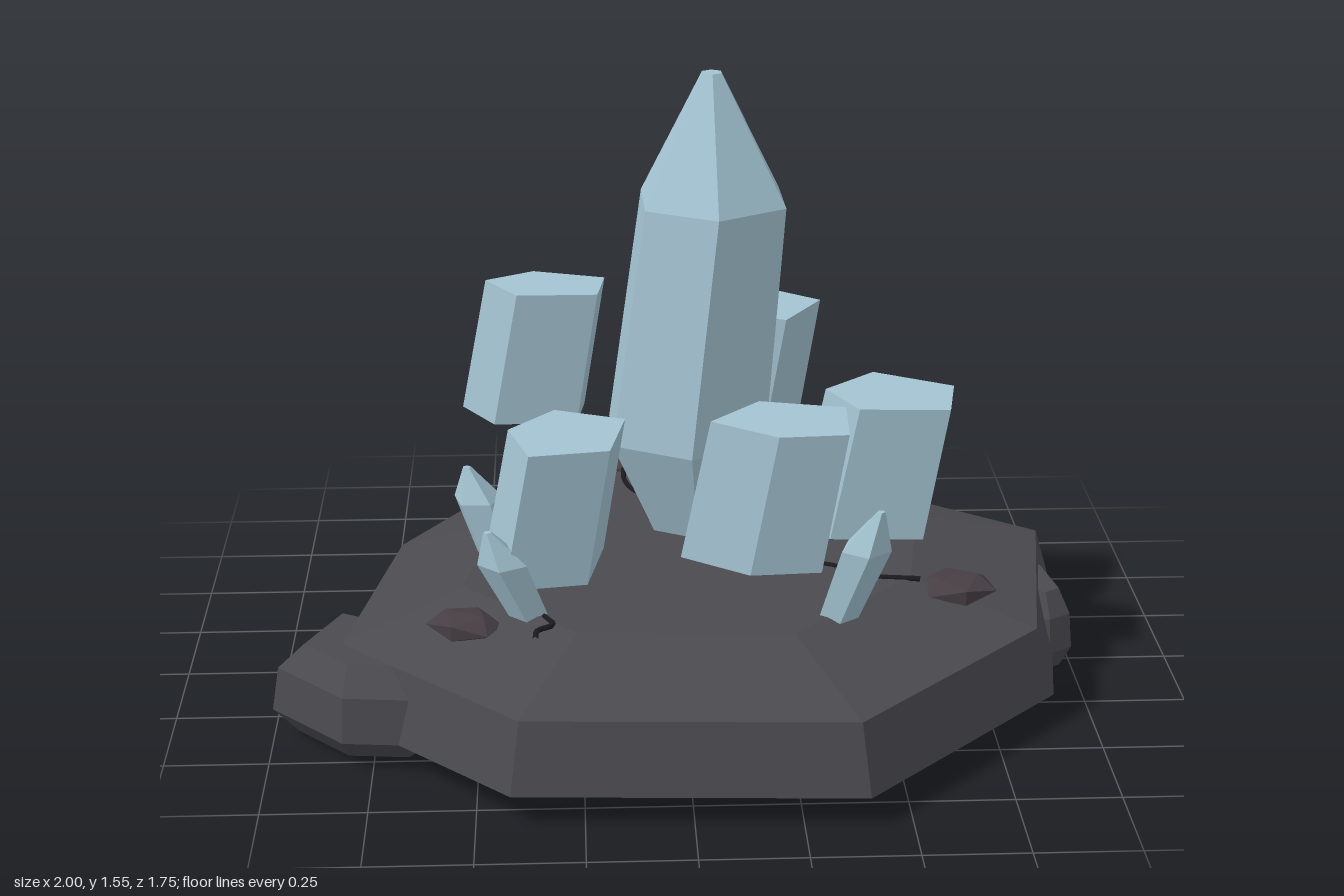
import * as THREE from 'three';

const crystalMat = new THREE.MeshStandardMaterial({ color: 0xa3c3d1, flatShading: true });
const rockMat = new THREE.MeshStandardMaterial({ color: 0x4a4a4f, flatShading: true });
const stoneMat = new THREE.MeshStandardMaterial({ color: 0x463e43, flatShading: true });
const crackMat = new THREE.MeshStandardMaterial({ color: 0x1c1c1e });

// Closed faceted solid through a stack of rings (lists of [x, y, z]) from bottom to top
function loft(rings) {
  const pos = [];
  const tri = (a, b, c) => pos.push(...a, ...b, ...c);
  const centre = (r) => [0, 1, 2].map((k) => r.reduce((s, p) => s + p[k], 0) / r.length);
  const n = rings[0].length, first = rings[0], last = rings[rings.length - 1];
  const c0 = centre(first), c1 = centre(last);
  for (let i = 0; i < n; i++) {
    const j = (i + 1) % n;
    for (let r = 0; r < rings.length - 1; r++) {
      const a = rings[r], b = rings[r + 1];
      tri(a[i], b[i], a[j]);
      tri(b[i], b[j], a[j]);
    }
    tri(c0, first[i], first[j]);
    tri(c1, last[j], last[i]);
  }
  const geo = new THREE.BufferGeometry();
  geo.setAttribute('position', new THREE.Float32BufferAttribute(pos, 3));
  geo.computeVertexNormals();
  return geo;
}

// Ring made from an [x, z] outline, scaled about (cx, cz) and shifted
const outlineRing = (pts, y, s, cx = 0, cz = 0, dx = 0, dz = 0) =>
  pts.map(([x, z]) => [cx + (x - cx) * s + dx, y, cz + (z - cz) * s + dz]);

// Regular ring
const ngon = (n, r, x, y, z, turn = 0) => Array.from({ length: n }, (_, i) => {
  const a = turn + (i / n) * Math.PI * 2;
  return [x + r * Math.cos(a), y, z + r * Math.sin(a)];
});

const mid = (pts) => [0, 1].map((k) => pts.reduce((s, p) => s + p[k], 0) / pts.length);

export function createModel() {
  const model = new THREE.Group();
  const add = (name, geo, mat) => {
    const m = new THREE.Mesh(geo, mat);
    m.name = name;
    model.add(m);
    return m;
  };

  // Rock slab
  const slab = [[-0.38, -0.83], [0.42, -0.72], [1, -0.28], [0.9, 0.36],
    [0.4, 0.87], [-0.42, 0.83], [-0.87, 0.38], [-0.75, -0.25]];
  add('rockBase', loft([[0.005, 0.72], [0.08, 1], [0.25, 0.95], [0.34, 0.62]]
    .map(([y, s]) => outlineRing(slab, y, s))), rockMat);

  // Boulders set into the rim
  const boulders = {
    leftBoulder: [[-0.87, 0.08], [-0.76, 0.14], [-0.64, 0.4], [-0.62, 0.57], [-0.82, 0.55], [-1, 0.36]],
    backBoulder: [[-0.2, -0.82], [0.06, -0.88], [0.26, -0.8], [0.33, -0.72], [0.1, -0.62], [-0.18, -0.7]],
    rightBoulder: [[0.82, -0.12], [0.95, -0.15], [0.99, 0.09], [0.93, 0.13], [0.82, 0.1]],
  };
  for (const [name, pts] of Object.entries(boulders)) {
    const [cx, cz] = mid(pts);
    const top = name === 'rightBoulder' ? 0.23 : name === 'backBoulder' ? 0.28 : 0.25;
    add(name, loft([[0.02, 0.72], [0.08, 1], [top - 0.06, 0.92], [top, 0.62]]
      .map(([y, s]) => outlineRing(pts, y, s, cx, cz))), rockMat);
  }

  // Tall central crystal
  const t = 0.5;
  add('mainCrystal', loft([
    ngon(6, 0.12, 0.035, 0.42, 0.03, t),
    ngon(6, 0.215, 0.015, 0.66, 0.02, t),
    ngon(6, 0.195, 0.08, 1.245, -0.003, t),
    ngon(6, 0.026, 0.077, 1.555, -0.015, t),
  ]), crystalMat);

  // Leaning five-sided prisms: bottom height and top outline
  const prisms = [
    [0.62, [[-0.36, -0.31], [-0.18, -0.25], [-0.2, -0.11], [-0.4, -0.11], [-0.48, -0.24]]],
    [0.51, [[0.19, -0.53], [0.38, -0.38], [0.28, -0.22], [0.07, -0.3], [0.04, -0.46]]],
    [0.51, [[0.17, 0.37], [0.37, 0.42], [0.36, 0.6], [0.2, 0.61], [0.05, 0.5]]],
    [0.41, [[-0.31, 0.14], [-0.14, 0.21], [-0.18, 0.42], [-0.37, 0.45], [-0.42, 0.27]]],
    [0.41, [[0.49, -0.1], [0.68, 0.01], [0.65, 0.18], [0.43, 0.17], [0.36, 0.02]]],
  ];
  prisms.forEach(([y, pts], i) => {
    const [cx, cz] = mid(pts);
    add('prismCrystal' + (i + 1), loft([
      outlineRing(pts, y, 1.04, cx, cz, -0.06, -0.03),
      outlineRing(pts, y + 0.35, 1),
    ]), crystalMat);
  });

  // Small pointed shards: foot and tip
  const shards = [
    [[0.36, 0.33, 0.42], [0.45, 0.625, 0.49]],
    [[-0.46, 0.33, 0.025], [-0.53, 0.56, 0]],
    [[-0.37, 0.32, 0.38], [-0.47, 0.56, 0.42]],
    [[0.04, 0.33, -0.44], [0.03, 0.62, -0.5]],
  ];
  shards.forEach(([foot, tip], i) => {
    const ring = (f, r) => ngon(5, r, ...foot.map((v, k) => v + (tip[k] - v) * f), i * 0.7 + 0.3);
    add('shard' + (i + 1), loft([ring(0, 0.05), ring(0.65, 0.062), ring(1, 0.01)]), crystalMat);
  });

  // Flat stones: x, y, z, half width, half depth, turn
  const stones = [
    [-0.08, 0.325, -0.57, 0.135, 0.07, -0.3],
    [0.67, 0.315, 0.23, 0.105, 0.09, 0.2],
    [-0.53, 0.315, 0.4, 0.1, 0.075, -0.5],
  ];
  stones.forEach(([x, y, z, w, d, turn], i) => {
    const m = add('stone' + (i + 1), new THREE.IcosahedronGeometry(1, 0), stoneMat);
    m.position.set(x, y, z);
    m.scale.set(w, 0.035, d);
    m.rotation.y = turn;
  });

  // Thin cracks on the slab top
  const cracks = [
    [[-0.13, -0.52], [-0.13, -0.44], [-0.11, -0.37], [-0.07, -0.31]],
    [[0.33, 0.13], [0.39, 0.16], [0.43, 0.21], [0.58, 0.24]],
    [[-0.34, 0.42], [-0.32, 0.47], [-0.355, 0.5], [-0.36, 0.55]],
  ];
  cracks.forEach((pts, i) => {
    const path = new THREE.CatmullRomCurve3(pts.map(([x, z]) => new THREE.Vector3(x, 0.342, z)));
    add('crack' + (i + 1), new THREE.TubeGeometry(path, 12, 0.007, 5), crackMat);
  });

  return model;
}
